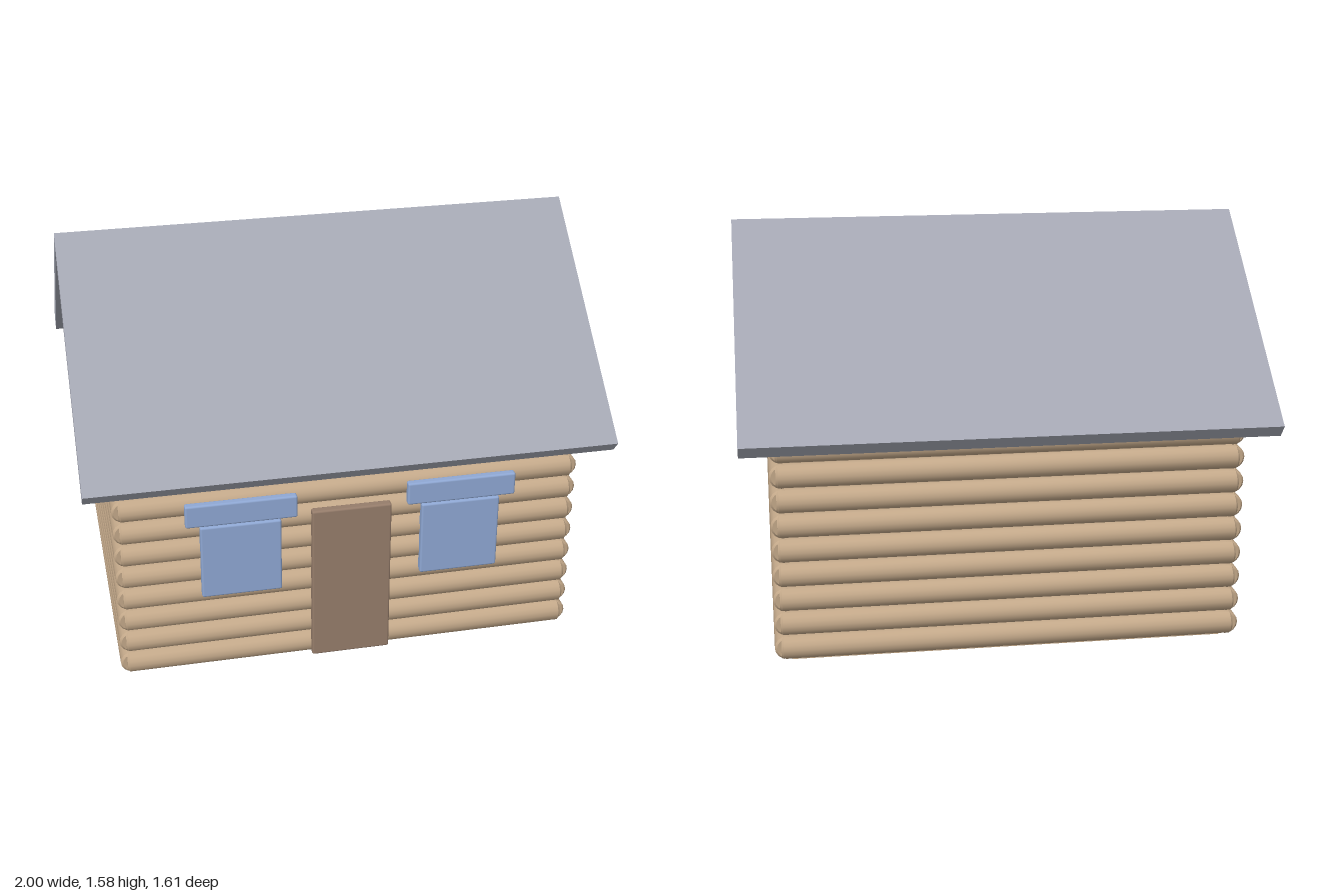
import * as THREE from 'three';
import { RoundedBoxGeometry } from 'three/addons/geometries/RoundedBoxGeometry.js';
import { toCreasedNormals } from 'three/addons/utils/BufferGeometryUtils.js';

const material = (color) => new THREE.MeshStandardMaterial({ color });

export function createModel() {
  const model = new THREE.Group();
  model.name = 'logCabin';

  const wood = material(0xc4a98a);
  const gableWood = material(0xb89f82);
  const doorWood = material(0x967d6b);
  const blue = material(0x8fa8d4);
  const slate = material(0xa5a8b4);

  const add = (name, geometry, mat, x = 0, y = 0, z = 0) => {
    const mesh = new THREE.Mesh(geometry, mat);
    mesh.name = name;
    mesh.position.set(x, y, z);
    model.add(mesh);
    return mesh;
  };

  // Extrudes a cross-section given as [z, y] points along x, centred on x = 0
  const extrudeAlongX = (points, length) => {
    const shape = new THREE.Shape(points.map(([z, y]) => new THREE.Vector2(z, y)));
    return new THREE.ExtrudeGeometry(shape, { depth: length, bevelEnabled: false })
      .translate(0, 0, -length / 2)
      .rotateY(-Math.PI / 2);
  };

  // Log lying along its own y axis, with softly bevelled ends
  const logGeometry = (length, radius = 0.046, bevel = 0.008) => {
    const h = length / 2;
    const profile = [
      [0, -h], [radius - bevel, -h], [radius, -h + bevel],
      [radius, h - bevel], [radius - bevel, h], [0, h],
    ].map(([r, y]) => new THREE.Vector2(r, y));
    return toCreasedNormals(new THREE.LatheGeometry(profile, 16), 0.6);
  };

  // Solid core behind the logs, down to the floor
  add('wallCore', new THREE.BoxGeometry(1.66, 0.86, 1.28), wood, 0, 0.43, 0);

  // Stacked log walls
  const longLog = logGeometry(1.74).rotateZ(Math.PI / 2);
  const sideLog = logGeometry(1.35).rotateX(Math.PI / 2);
  for (let i = 0; i < 9; i++) {
    const y = 0.06 + i * 0.096;
    for (const s of [1, -1]) {
      add(s > 0 ? 'frontLog' : 'backLog', longLog, wood, 0, y, s * 0.654);
      add(s > 0 ? 'leftLog' : 'rightLog', sideLog, wood, s * 0.849, y, 0);
    }
  }

  // Triangular gable boards at both ends
  const gable = extrudeAlongX([[-0.65, 0.885], [0.65, 0.885], [0, 1.57]], 0.02);
  for (const s of [1, -1]) add(s > 0 ? 'leftGable' : 'rightGable', gable, gableWood, s * 0.83);

  // Pitched roof of even thickness
  add('roof', extrudeAlongX([
    [0, 1.578], [-0.805, 0.885], [-0.765, 0.838],
    [0, 1.508], [0.765, 0.838], [0.805, 0.885],
  ], 2), slate);

  // Door
  add('door', new RoundedBoxGeometry(0.306, 0.65, 0.035, 2, 0.008), doorWood, 0, 0.35, 0.7025);

  // Windows with a header board above
  for (const s of [1, -1]) {
    const side = s > 0 ? 'left' : 'right';
    add(side + 'Window', new RoundedBoxGeometry(0.306, 0.306, 0.035, 2, 0.008), blue, s * 0.423, 0.503, 0.7025);
    add(side + 'WindowHeader', new RoundedBoxGeometry(0.42, 0.092, 0.032, 2, 0.008), blue, s * 0.421, 0.714, 0.717);
  }

  return model;
}
